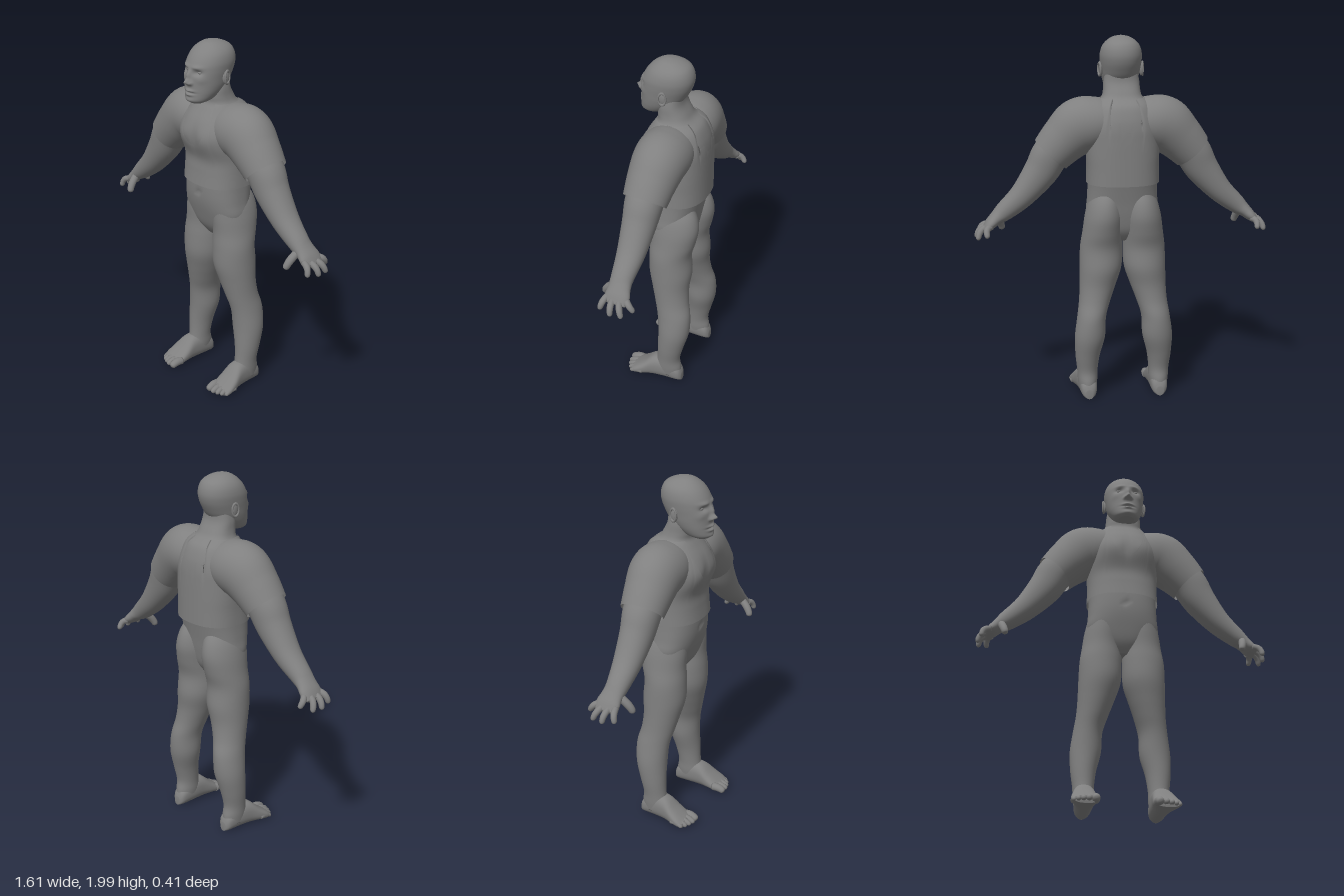
import * as THREE from 'three';

const skin = new THREE.MeshStandardMaterial({ color: 0x808080 });
skin.name = 'plain grey';
skin.side = THREE.DoubleSide;

const X = new THREE.Vector3(1, 0, 0), Y = new THREE.Vector3(0, 1, 0), Z = new THREE.Vector3(0, 0, 1);

// Catmull-Rom sample of a table of [x, y, z, radiusU, radiusV] rows, t in 0..1
function sample(rows, t) {
  const n = rows.length - 1, f = Math.min(Math.max(t, 0), 1) * n;
  const i = Math.min(Math.floor(f), n - 1), u = f - i;
  const row = k => rows[Math.min(Math.max(k, 0), n)];
  return rows[0].map((_, c) => {
    const [a, b, d, e] = [row(i - 1)[c], row(i)[c], row(i + 1)[c], row(i + 2)[c]];
    return b + 0.5 * u * (d - a + u * (2 * a - 5 * b + 4 * d - e + u * (3 * (b - d) + e - a)));
  });
}

// Skin a tube over the rows; power squares the section, end(angle) trims the last edge
function loft(rows, { axis = null, up = Z, power = 2, seg = 40, sub = 5, caps = true, end = () => 1 } = {}) {
  const steps = (rows.length - 1) * sub, pos = [], idx = [];
  const centre = t => new THREE.Vector3(...sample(rows, t).slice(0, 3));
  const bend = v => Math.sign(v) * Math.pow(Math.abs(v), 2 / power);
  for (let i = 0; i <= steps; i++) {
    for (let j = 0; j < seg; j++) {
      const a = (j / seg) * Math.PI * 2, t = (i / steps) * end(a);
      const [x, y, z, ru, rv] = sample(rows, t);
      const T = axis || centre(Math.min(t + 0.02, 1)).sub(centre(Math.max(t - 0.02, 0))).normalize();
      const V = up.clone().addScaledVector(T, -up.dot(T)).normalize();
      const U = T.clone().cross(V);
      const p = new THREE.Vector3(x, y, z)
        .addScaledVector(U, ru * bend(Math.sin(a))).addScaledVector(V, rv * bend(Math.cos(a)));
      pos.push(p.x, p.y, p.z);
      if (i < steps) {
        const k = (j + 1) % seg, p0 = i * seg + j, p1 = i * seg + k;
        idx.push(p0, p1, p1 + seg, p0, p1 + seg, p0 + seg);
      }
    }
  }
  if (caps) {
    const first = pos.length / 3, last = steps * seg;
    pos.push(...rows[0].slice(0, 3), ...rows[rows.length - 1].slice(0, 3));
    for (let j = 0; j < seg; j++) {
      const k = (j + 1) % seg;
      idx.push(first, k, j, first + 1, last + j, last + k);
    }
  }
  const g = new THREE.BufferGeometry();
  g.setAttribute('position', new THREE.Float32BufferAttribute(pos, 3));
  g.setIndex(idx);
  g.computeVertexNormals();
  return g;
}

// Upright rows given as [y, x, halfWidth, zFront, zBack]
const column = rows => rows.map(([y, x, rx, zf, zb]) => [x, y, (zf + zb) / 2, rx, (zf - zb) / 2]);

// Push the front forward or back with soft bumps [x, y, sizeX, sizeY, depth], mirrored in x
function sculpt(g, bumps) {
  const p = g.attributes.position;
  for (let i = 0; i < p.count; i++) {
    const fade = THREE.MathUtils.smoothstep(p.getZ(i), 0.02, 0.08);
    let dz = 0;
    for (const [x, y, sx, sy, d] of bumps)
      dz += d * Math.exp(-(((Math.abs(p.getX(i)) - x) / sx) ** 2) - ((p.getY(i) - y) / sy) ** 2);
    p.setZ(i, p.getZ(i) + dz * fade);
  }
  g.computeVertexNormals();
  return g;
}

// A finger or toe from base to tip, arched by lift
function digit(base, tip, r, lift) {
  const b = new THREE.Vector3(...base), t = new THREE.Vector3(...tip), l = new THREE.Vector3(...lift);
  const at = (k, s) => [...b.clone().lerp(t, k).addScaledVector(l, Math.sin(k * Math.PI)), r * s, r * s];
  const up = Math.abs(t.z - b.z) > Math.abs(t.y - b.y) ? Y : Z;
  return loft([at(0, 1), at(0.35, 1.02), at(0.65, 0.95), at(0.88, 0.82), at(0.97, 0.5), at(1, 0.1)],
    { up, seg: 14, sub: 3 });
}

function ellipsoid(x, y, z, rx, ry, rz) {
  return new THREE.SphereGeometry(1, 24, 16).scale(rx, ry, rz).translate(x, y, z);
}

function mirrored(g) {
  const m = g.clone().scale(-1, 1, 1), ix = m.index.array;
  for (let i = 0; i < ix.length; i += 3) [ix[i], ix[i + 1]] = [ix[i + 1], ix[i]];
  return m;
}

export function createModel() {
  const model = new THREE.Group();
  model.name = 'figure';
  const add = (name, g) => {
    const mesh = new THREE.Mesh(g, skin);
    mesh.name = name;
    model.add(mesh);
  };
  const addPair = (name, g) => { add('left ' + name, g); add('right ' + name, mirrored(g)); };

  // Shirt body and the torso just beneath it
  const shirt = [
    [1.22, 0, 0.197, 0.13, -0.205], [1.30, 0, 0.195, 0.123, -0.205], [1.37, 0, 0.197, 0.122, -0.205],
    [1.45, 0, 0.2, 0.148, -0.205], [1.52, 0, 0.198, 0.153, -0.203], [1.58, 0, 0.18, 0.135, -0.192],
    [1.64, 0, 0.15, 0.098, -0.165], [1.675, 0, 0.118, 0.078, -0.118],
  ];
  const inner = shirt.slice(1).map(([y, x, rx, f, b]) => [y, x, rx - 0.007, f - 0.007, b + 0.007]);
  const pecs = [[0.09, 1.49, 0.06, 0.05, 0.01], [0, 1.5, 0.015, 0.07, -0.006]];
  add('torso and neck', sculpt(loft(column([
    [0.90, 0, 0.07, 0.02, -0.09], [0.96, 0, 0.15, 0.062, -0.13], [1.04, 0, 0.196, 0.09, -0.15],
    [1.12, 0, 0.192, 0.11, -0.163], [1.2, 0, 0.188, 0.117, -0.178], ...inner,
    [1.71, 0, 0.1, 0.072, -0.088], [1.76, 0, 0.096, 0.068, -0.064], [1.82, 0, 0.085, 0.06, -0.06],
  ]), { axis: Y, power: 2.4, seg: 72 }), [...pecs, [0, 1.17, 0.012, 0.014, -0.012]]));

  // Scooped neckline in front, stepped one behind
  const shirtRows = column(shirt);
  const neckline = a => {
    const front = Math.min(a, Math.PI * 2 - a), back = Math.PI - front;
    let y = 1.45 + 0.225 * Math.min(1, (front / 0.6) ** 2);
    if (back < 0.4) y = back < 0.12 ? 1.51 : 1.56;
    let lo = 0, hi = 1;
    for (let k = 0; k < 16; k++) {
      const mid = (lo + hi) / 2;
      if (sample(shirtRows, mid)[1] < y) lo = mid; else hi = mid;
    }
    return hi;
  };
  add('shirt body', sculpt(loft(shirtRows,
    { axis: Y, power: 2.4, seg: 96, caps: false, end: neckline }), pecs));

  // Short sleeves running from the collar over the shoulders
  addPair('shirt sleeve', loft([
    [0.06, 1.54, -0.03, 0.115, 0.13], [0.15, 1.54, -0.03, 0.142, 0.145], [0.23, 1.522, -0.028, 0.152, 0.142],
    [0.31, 1.455, -0.022, 0.132, 0.13], [0.385, 1.375, -0.018, 0.113, 0.117],
  ], { seg: 48, sub: 8, caps: false }));

  // Arm and palm
  addPair('arm', loft([
    [0.31, 1.455, -0.02, 0.10, 0.10], [0.385, 1.375, -0.017, 0.101, 0.1], [0.44, 1.28, -0.015, 0.092, 0.09],
    [0.54, 1.155, -0.015, 0.069, 0.075], [0.64, 1.067, -0.014, 0.052, 0.06], [0.685, 1.032, -0.018, 0.037, 0.06],
    [0.72, 1.0, -0.022, 0.029, 0.068], [0.75, 0.972, -0.022, 0.015, 0.056],
  ], { power: 2.1 }));
  const fingers = {
    'index finger': [[0.725, 0.995, 0.03], [0.775, 0.935, 0.052]],
    'middle finger': [[0.73, 0.99, -0.003], [0.793, 0.925, -0.015]],
    'ring finger': [[0.73, 0.99, -0.04], [0.785, 0.925, -0.075]],
    'little finger': [[0.715, 0.995, -0.07], [0.735, 0.945, -0.122]],
  };
  for (const [name, [base, tip]] of Object.entries(fingers))
    addPair(name, digit(base, tip, 0.017, [0.013, 0.012, 0]));
  addPair('thumb', digit([0.67, 1.03, 0.02], [0.648, 0.945, 0.085], 0.021, [0, 0, 0.012]));

  // Legs, with the buttocks as their upper swell
  addPair('leg', loft(column([
    [0.05, 0.2, 0.048, 0.02, -0.14], [0.1, 0.2, 0.054, 0.015, -0.138], [0.16, 0.201, 0.057, 0.004, -0.13],
    [0.25, 0.2, 0.068, 0, -0.15], [0.36, 0.188, 0.083, 0, -0.178], [0.47, 0.178, 0.079, 0.01, -0.18],
    [0.56, 0.158, 0.086, 0.032, -0.16], [0.65, 0.139, 0.1, 0.055, -0.153], [0.75, 0.122, 0.115, 0.078, -0.162],
    [0.86, 0.118, 0.115, 0.08, -0.155], [0.95, 0.112, 0.108, 0.076, -0.177], [1.04, 0.104, 0.103, 0.082, -0.192],
    [1.12, 0.098, 0.088, 0.08, -0.178], [1.19, 0.09, 0.06, 0.05, -0.14],
  ]), { axis: Y }));

  // Feet: rows of [z, x, halfWidth, top]
  addPair('foot', loft([
    [-0.148, 0.198, 0.02, 0.06], [-0.125, 0.198, 0.042, 0.105], [-0.05, 0.2, 0.052, 0.15],
    [0.02, 0.205, 0.058, 0.148], [0.08, 0.211, 0.068, 0.1], [0.125, 0.214, 0.07, 0.066], [0.15, 0.212, 0.058, 0.05],
  ].map(([z, x, rx, top]) => [x, (top + 0.01) / 2, z, rx, (top - 0.01) / 2]),
  { axis: Z, up: Y, power: 2.4 }));
  [[0.164, 0.19, 0.023], [0.198, 0.19, 0.017], [0.226, 0.182, 0.016], [0.251, 0.17, 0.015], [0.272, 0.153, 0.014]]
    .forEach(([x, z, r], i) => addPair('toe ' + (i + 1),
      digit([x - 0.004, 0.04, z - 0.075], [x, 0.024, z], r, [0, 0.008, 0])));

  // Head with a sculpted face
  add('head', sculpt(loft(column([
    [1.688, 0, 0.042, 0.158, 0.08], [1.705, 0, 0.068, 0.174, 0.03], [1.74, 0, 0.088, 0.174, -0.02],
    [1.78, 0, 0.1, 0.173, -0.062], [1.82, 0, 0.106, 0.172, -0.087], [1.86, 0, 0.111, 0.168, -0.105],
    [1.90, 0, 0.112, 0.156, -0.112], [1.94, 0, 0.102, 0.132, -0.104], [1.97, 0, 0.08, 0.102, -0.082],
    [1.992, 0, 0.045, 0.066, -0.035], [2.0, 0, 0.008, 0.03, 0.01],
  ]), { axis: Y, power: 2.1, seg: 112, sub: 10 }), [
    [0.045, 1.855, 0.022, 0.014, -0.017], [0.04, 1.883, 0.03, 0.01, 0.007],   // sockets, brows
    [0, 1.805, 0.015, 0.015, 0.032], [0, 1.838, 0.012, 0.026, 0.018],          // nose
    [0.018, 1.798, 0.008, 0.009, 0.014], [0.07, 1.82, 0.02, 0.02, 0.005],      // nostrils, cheeks
    [0, 1.758, 0.028, 0.007, 0.012], [0, 1.736, 0.025, 0.007, 0.011],          // lips
    [0, 1.747, 0.032, 0.004, -0.009], [0, 1.705, 0.03, 0.014, 0.006],          // mouth line, chin
  ]));
  addPair('eye', ellipsoid(0.045, 1.856, 0.132, 0.017, 0.011, 0.015));

  // Ears: a flat shell with a raised rim
  addPair('ear', ellipsoid(0.108, 1.82, 0.014, 0.01, 0.036, 0.022));
  addPair('ear rim', new THREE.TorusGeometry(0.026, 0.006, 10, 28).scale(0.75, 1.3, 1)
    .rotateY(Math.PI / 2 + 0.25).translate(0.116, 1.822, 0.012));

  return model;
}
